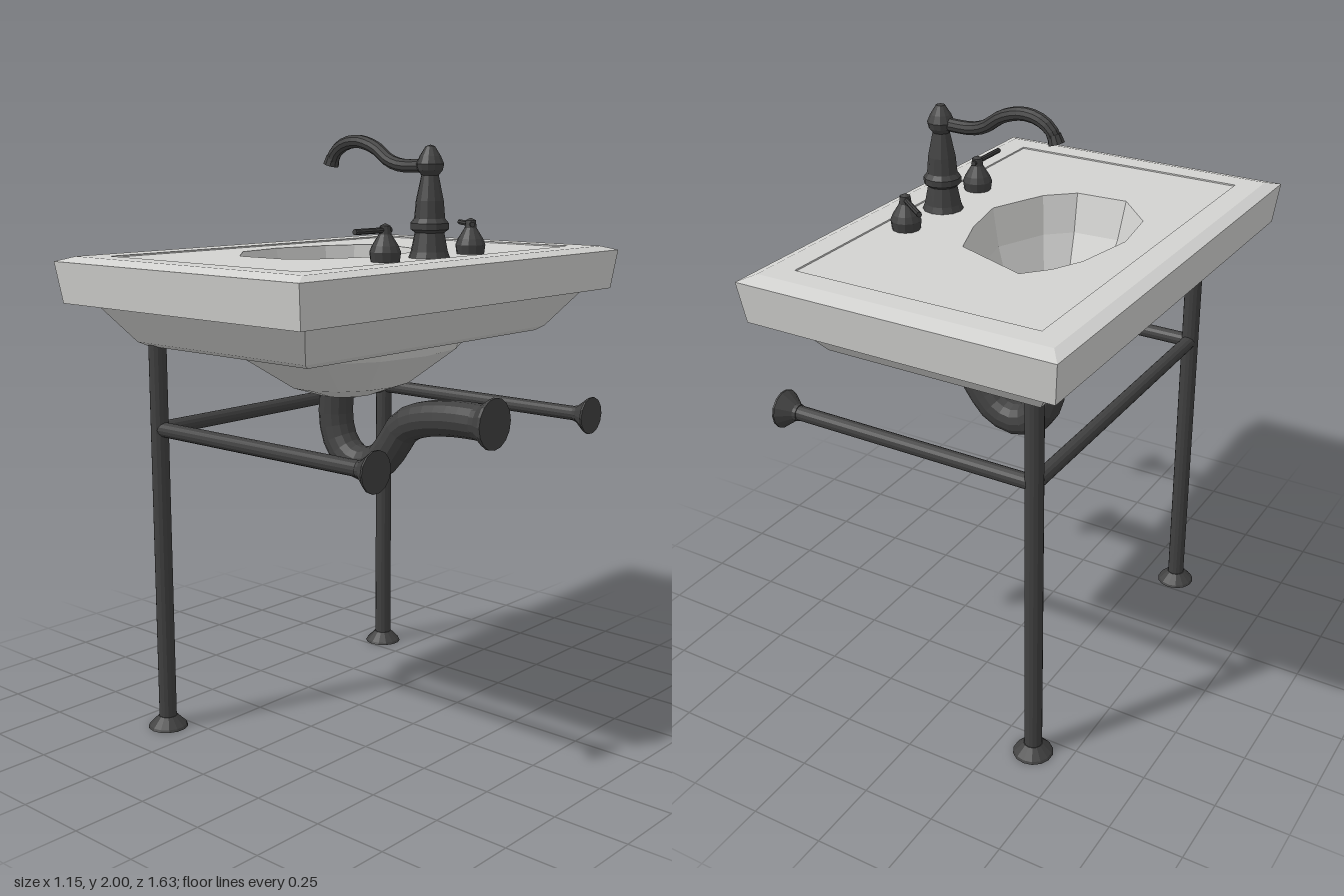
import * as THREE from 'three';

const dark = new THREE.MeshStandardMaterial({ color: 0x404040 });
dark.name = 'dark metal';
const stone = new THREE.MeshStandardMaterial({ color: 0xd2d2d0 });
stone.name = 'pale ceramic';

const V = (x, y, z) => new THREE.Vector3(x, y, z);

// Faceted normals
function flat(g) {
  const f = g.index ? g.toNonIndexed() : g;
  f.computeVertexNormals();
  return f;
}

function add(parent, name, geometry, material) {
  const m = new THREE.Mesh(geometry, material);
  m.name = name;
  parent.add(m);
  return m;
}

// Skin between loops of equal length, counter-clockwise from above
function loft(loops) {
  const n = loops[0].length, pos = [], idx = [];
  loops.forEach(l => l.forEach(p => pos.push(p.x, p.y, p.z)));
  for (let k = 0; k < loops.length - 1; k++) {
    for (let i = 0; i < n; i++) {
      const a = k * n + i, b = k * n + (i + 1) % n;
      idx.push(a, b, b + n, a, b + n, a + n);
    }
  }
  const g = new THREE.BufferGeometry();
  g.setAttribute('position', new THREE.Float32BufferAttribute(pos, 3));
  g.setIndex(idx);
  return flat(g);
}

const rect = (x0, x1, z, y) => [V(x0, y, z), V(x1, y, z), V(x1, y, -z), V(x0, y, -z)];

function ellipse(cx, rx, rz, y, n = 14) {
  return Array.from({ length: n }, (_, i) => {
    const a = i / n * Math.PI * 2;
    return V(cx + rx * Math.cos(a), y, -rz * Math.sin(a));
  });
}

// Horizontal sheet with a hole, facing up or down
function sheet(outer, hole, y, up) {
  const s = up ? -1 : 1;
  const to2 = l => l.map(p => new THREE.Vector2(p.x, s * p.z));
  const shape = new THREE.Shape(to2(outer));
  shape.holes.push(new THREE.Path(to2(hole)));
  return flat(new THREE.ShapeGeometry(shape).rotateX(s * Math.PI / 2).translate(0, y, 0));
}

const lathe = (pts, sides) =>
  flat(new THREE.LatheGeometry(pts.map(p => new THREE.Vector2(p[0], p[1])), sides));

const tube = (pts, r, steps, sides = 12) =>
  flat(new THREE.TubeGeometry(new THREE.CatmullRomCurve3(pts), steps, r, sides));

// Straight round bar between two points
function bar(a, b, r, sides = 14) {
  const d = b.clone().sub(a);
  const g = new THREE.CylinderGeometry(r, r, d.length(), sides);
  g.applyQuaternion(new THREE.Quaternion().setFromUnitVectors(V(0, 1, 0), d.normalize()));
  const c = a.clone().add(b).multiplyScalar(0.5);
  return flat(g.translate(c.x, c.y, c.z));
}

function makeBasin() {
  const basin = new THREE.Group();
  basin.name = 'basin';
  const base = rect(-0.4, 0.315, 0.585, 1.32);
  const deck = rect(-0.46, 0.385, 0.683, 1.61);
  // Stepped apron, rim and bevelled edge
  add(basin, 'rim and apron', loft([
    base,
    rect(-0.42, 0.335, 0.615, 1.335),
    rect(-0.505, 0.43, 0.715, 1.465),
    rect(-0.565, 0.49, 0.795, 1.465),
    rect(-0.58, 0.505, 0.815, 1.6),
    rect(-0.54, 0.465, 0.76, 1.615),
    rect(-0.46, 0.385, 0.683, 1.615),
    deck,
  ]), stone);

  // Irregular oval opening
  const opening = [
    [-0.2, -0.36], [-0.27, -0.28], [-0.32, -0.18], [-0.36, 0.03], [-0.33, 0.22], [-0.2, 0.36],
    [-0.02, 0.35], [0.07, 0.27], [0.155, 0.08], [0.12, -0.1], [0.06, -0.26],
  ];
  const inner = (s, y) => opening.map(([x, z]) => V(-0.1 + (x + 0.1) * s, y, z * s));
  add(basin, 'deck', sheet(deck, inner(1, 0), 1.61, true), stone);
  add(basin, 'bowl inside', loft([
    inner(1, 1.61), inner(0.9, 1.48), inner(0.72, 1.34), inner(0.42, 1.2), inner(0.2, 1.16), inner(0, 1.155),
  ]), stone);

  // Underside and bowl shell
  const shellTop = ellipse(-0.03, 0.335, 0.47, 1.32);
  add(basin, 'underside', sheet(base, shellTop, 1.32, false), stone);
  add(basin, 'bowl outside', loft([
    ellipse(-0.05, 0, 0, 1.125),
    ellipse(-0.05, 0.09, 0.11, 1.13),
    ellipse(-0.04, 0.19, 0.24, 1.17),
    ellipse(-0.03, 0.325, 0.45, 1.29),
    shellTop,
  ]), stone);
  const drain = add(basin, 'drain', flat(new THREE.CylinderGeometry(0.06, 0.06, 0.03, 14)), dark);
  drain.position.set(-0.1, 1.16, 0);
  return basin;
}

function makeFaucet() {
  const faucet = new THREE.Group();
  faucet.name = 'faucet';
  const column = add(faucet, 'faucet column', lathe([
    [0, 0], [0.068, 0], [0.06, 0.02], [0.048, 0.08], [0.062, 0.09], [0.062, 0.11], [0.05, 0.125],
    [0.045, 0.18], [0.028, 0.26], [0.04, 0.275], [0.045, 0.295], [0.034, 0.32], [0.015, 0.35], [0, 0.355],
  ], 12), dark);
  column.position.set(0.3, 1.61, 0);
  add(faucet, 'spout', tube([
    V(0.3, 1.9, 0), V(0.18, 1.9, 0), V(0.13, 1.915, 0), V(0.07, 1.955, 0), V(0, 1.975, 0),
    V(-0.06, 1.968, 0), V(-0.105, 1.94, 0), V(-0.12, 1.91, 0),
  ], 0.022, 18, 10), dark);
  const tip = add(faucet, 'spout tip', flat(new THREE.CylinderGeometry(0.022, 0.027, 0.03, 10)), dark);
  tip.position.set(-0.122, 1.912, 0);
  tip.rotation.z = -0.3;

  // Tap handles with their levers
  for (const [z, lx, lz] of [[0.218, 0.3, 0.36], [-0.218, 0.185, -0.31]]) {
    const knob = add(faucet, 'tap handle', lathe([
      [0, 0], [0.046, 0], [0.05, 0.03], [0.042, 0.05], [0.02, 0.085], [0.017, 0.11], [0, 0.118],
    ], 12), dark);
    knob.position.set(0.3, 1.61, z);
    const back = V(0.3 - lx, 0, z - lz).normalize().multiplyScalar(0.025);
    add(faucet, 'tap lever', bar(V(0.3, 1.707, z).add(back), V(lx, 1.707, lz), 0.009, 8), dark);
  }
  return faucet;
}

function makeStand() {
  const stand = new THREE.Group();
  stand.name = 'stand';
  const x = -0.375, y = 1.045;
  for (const z of [0.57, -0.57]) {
    add(stand, 'leg', bar(V(x, 0.01, z), V(x, 1.335, z), 0.03), dark);
    const foot = add(stand, 'foot', lathe([[0, 0], [0.068, 0], [0.064, 0.008], [0.032, 0.04], [0, 0.04]], 14), dark);
    foot.position.set(x, 0, z);
    add(stand, 'side rail', bar(V(x, y, z), V(0.55, y, z), 0.025), dark);
    const flange = add(stand, 'wall flange', lathe([[0, 0], [0.028, 0], [0.03, 0.012], [0.065, 0.058], [0.065, 0.064], [0, 0.064]], 14), dark);
    flange.position.set(0.506, y, z);
    flange.rotation.z = -Math.PI / 2;
  }
  add(stand, 'cross rail', bar(V(x, y, -0.57), V(x, y, 0.57), 0.025), dark);
  return stand;
}

function makeTrap() {
  const trap = new THREE.Group();
  trap.name = 'drain trap';
  add(trap, 'trap pipe', tube([
    V(-0.105, 1.15, 0), V(-0.105, 1.02, 0), V(-0.08, 0.95, 0), V(-0.035, 0.905, 0), V(0.03, 0.89, 0),
    V(0.1, 0.915, 0), V(0.15, 0.97, 0), V(0.2, 1.04, 0), V(0.27, 1.075, 0), V(0.4, 1.097, 0), V(0.55, 1.1, 0),
  ], 0.06, 20, 14), dark);
  const flange = add(trap, 'trap flange', lathe([[0, 0], [0.06, 0], [0.062, 0.02], [0.085, 0.055], [0.085, 0.065], [0, 0.065]], 16), dark);
  flange.position.set(0.508, 1.1, 0);
  flange.rotation.z = -Math.PI / 2;
  return trap;
}

export function createModel() {
  const model = new THREE.Group();
  model.name = 'console sink';
  model.add(makeBasin(), makeFaucet(), makeStand(), makeTrap());
  return model;
}
